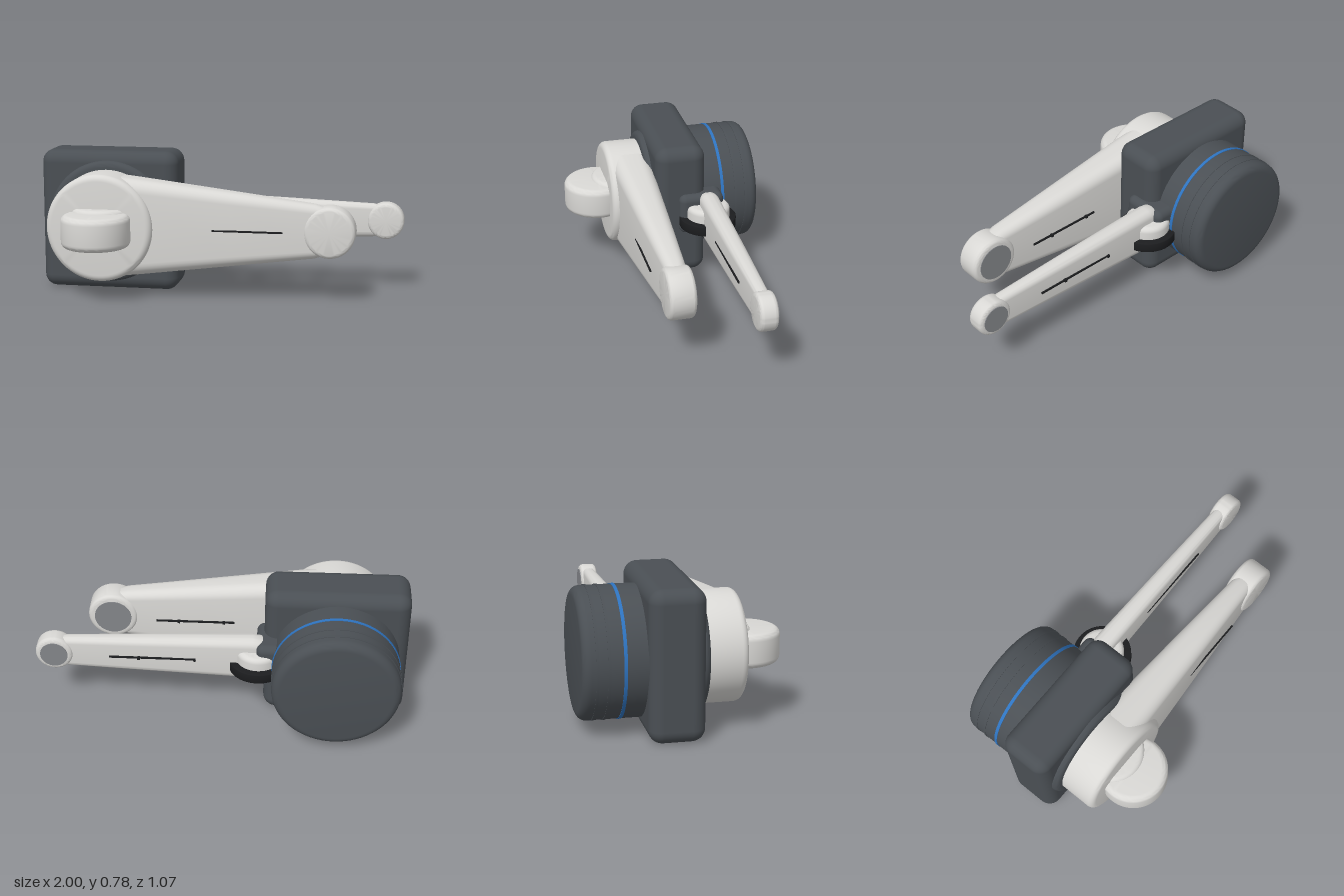
import * as THREE from 'three';
import { RoundedBoxGeometry } from 'three/addons/geometries/RoundedBoxGeometry.js';
import { toCreasedNormals } from 'three/addons/utils/BufferGeometryUtils.js';

const material = (name, color) => {
  const m = new THREE.MeshStandardMaterial({ color });
  m.name = name;
  return m;
};

// Solid disc with rounded rims, running from "from" to "to" along z (or y)
function roundedDisc(radius, from, to, bevelFrom, bevelTo = bevelFrom, axis = 'z') {
  const points = [new THREE.Vector2(0, from)];
  const rim = (bevel, y, inward, start) => {
    for (let i = 0; i <= 6; i++) {
      const a = (start + i / 6) * Math.PI / 2;
      points.push(new THREE.Vector2(radius - bevel + bevel * Math.cos(a), y + inward * bevel + bevel * Math.sin(a)));
    }
  };
  if (bevelFrom > 0) rim(bevelFrom, from, 1, -1);
  else points.push(new THREE.Vector2(radius, from));
  if (bevelTo > 0) rim(bevelTo, to, -1, 0);
  else points.push(new THREE.Vector2(radius, to));
  points.push(new THREE.Vector2(0, to));
  let g = new THREE.LatheGeometry(points, 64);
  if (axis === 'z') g.rotateX(Math.PI / 2);
  return toCreasedNormals(g, 0.6);
}

// Tapered link: rounded rectangular sections [x, half height, back z, front z, corner]
function link(sections, midY) {
  const n = 32, positions = [], index = [];
  for (const [x, h, back, front, corner] of sections) {
    const d = (front - back) / 2, midZ = (front + back) / 2;
    for (let j = 0; j < n; j++) {
      const quadrant = Math.floor(j / 8);
      const a = (quadrant + (j % 8) / 7) * Math.PI / 2;
      const sy = quadrant === 0 || quadrant === 3 ? 1 : -1;
      const sz = quadrant < 2 ? 1 : -1;
      positions.push(x,
        midY + sy * (h - corner) + corner * Math.cos(a),
        midZ + sz * (d - corner) + corner * Math.sin(a));
    }
  }
  for (let i = 0; i < sections.length - 1; i++) {
    for (let j = 0; j < n; j++) {
      const k = (j + 1) % n, p = i * n, q = p + n;
      index.push(p + j, p + k, q + k, p + j, q + k, q + j);
    }
  }
  // End caps
  const last = (sections.length - 1) * n;
  for (let j = 1; j < n - 1; j++) {
    index.push(0, j + 1, j, last, last + j, last + j + 1);
  }
  const g = new THREE.BufferGeometry();
  g.setAttribute('position', new THREE.Float32BufferAttribute(positions, 3));
  g.setIndex(index);
  return toCreasedNormals(g, 0.6);
}

export function createModel() {
  const light = material('light shell', 0xd9d8d5);
  const dark = material('dark housing', 0x4a4f54);
  const blue = material('blue accent', 0x2f74c0);
  const black = material('black trim', 0x1c1d1f);
  const grey = material('grey cap', 0x84868a);

  const model = new THREE.Group();
  const add = (name, geometry, mat, x = 0, y = 0, z = 0) => {
    const mesh = new THREE.Mesh(geometry, mat);
    mesh.name = name;
    mesh.position.set(x, y, z);
    model.add(mesh);
    return mesh;
  };
  const X = -0.615, Y = 0.388;

  // Housing block and rear drum
  add('housing', new RoundedBoxGeometry(0.77, 0.776, 0.285, 5, 0.07), dark, X, Y, -0.0725);
  add('rearDrum', roundedDisc(0.339, -0.535, -0.15, 0.045, 0), dark, X, Y);
  add('frontFlange', roundedDisc(0.338, 0, 0.1, 0, 0.035), dark, X, Y);
  add('accentRing', roundedDisc(0.342, -0.334, -0.317, 0), blue, X, Y);
  for (const z of [-0.405, -0.463]) {
    add('drumBand', roundedDisc(0.342, z - 0.007, z + 0.007, 0), dark, X, Y);
  }

  // Shoulder hub with its upright knuckle
  add('shoulderHub', roundedDisc(0.292, 0.06, 0.304, 0.035), light, X, Y);
  add('knuckleCollar', roundedDisc(0.178, 0.28, 0.496, 0.03, 0.03, 'y'), light, X, 0, 0.198);
  add('knuckle', roundedDisc(0.185, 0.3, 0.478, 0.035, 0.035, 'y'), light, X, 0, 0.348);

  // Upper arm and its end joint
  add('upperArm', link([
    [-0.615, 0.283, 0.055, 0.27, 0.06],
    [-0.4, 0.26, 0.055, 0.272, 0.07],
    [0.1, 0.2, 0.076, 0.243, 0.06],
    [0.54, 0.146, 0.098, 0.215, 0.045],
    [0.62, 0.12, 0.105, 0.205, 0.04]
  ], Y), light);
  add('upperArmEnd', roundedDisc(0.138, 0.085, 0.228, 0.025), light, 0.62, Y);
  add('upperArmCap', roundedDisc(0.102, 0.081, 0.09, 0), grey, 0.62, Y);

  // Side bracket and swivel carrying the forearm
  add('sideBracket', new RoundedBoxGeometry(0.2, 0.236, 0.256, 4, 0.04), dark, -0.29, Y, -0.183);
  add('swivelDisc', roundedDisc(0.16, 0.321, 0.378, 0.004, 0.004, 'y'), black, -0.2, 0, -0.215);
  add('swivelHub', roundedDisc(0.122, 0.3, 0.45, 0.03, 0.03, 'y'), light, -0.2, 0, -0.217);

  // Forearm and its end joint
  add('forearm', link([
    [-0.265, 0.06, -0.25, -0.19, 0.028],
    [-0.25, 0.1, -0.265, -0.175, 0.04],
    [-0.215, 0.124, -0.273, -0.167, 0.045],
    [-0.17, 0.13, -0.275, -0.165, 0.045],
    [0.4, 0.109, -0.265, -0.173, 0.038],
    [0.83, 0.092, -0.255, -0.183, 0.03],
    [0.9, 0.075, -0.25, -0.19, 0.025]
  ], Y), light);
  add('forearmEnd', roundedDisc(0.101, -0.268, -0.17, 0.022), light, 0.898, Y);
  add('forearmCap', roundedDisc(0.074, -0.272, -0.264, 0), grey, 0.898, Y);

  // Thin seam strips with small studs on both faces of each arm
  const strips = [
    [-0.06, 0.375, 0.245, []],
    [-0.06, 0.375, 0.064, [0, 0.25]],
    [0.14, 0.6, -0.27, [0.14, 0.44]],
    [0.14, 0.6, -0.171, []]
  ];
  for (const [x0, x1, z, studs] of strips) {
    add('seamStrip', new THREE.BoxGeometry(x1 - x0, 0.009, 0.008), black, (x0 + x1) / 2, Y, z);
    for (const x of studs) {
      add('seamStud', new THREE.BoxGeometry(0.014, 0.014, 0.016), black, x, Y, z - 0.003);
    }
  }
  return model;
}
